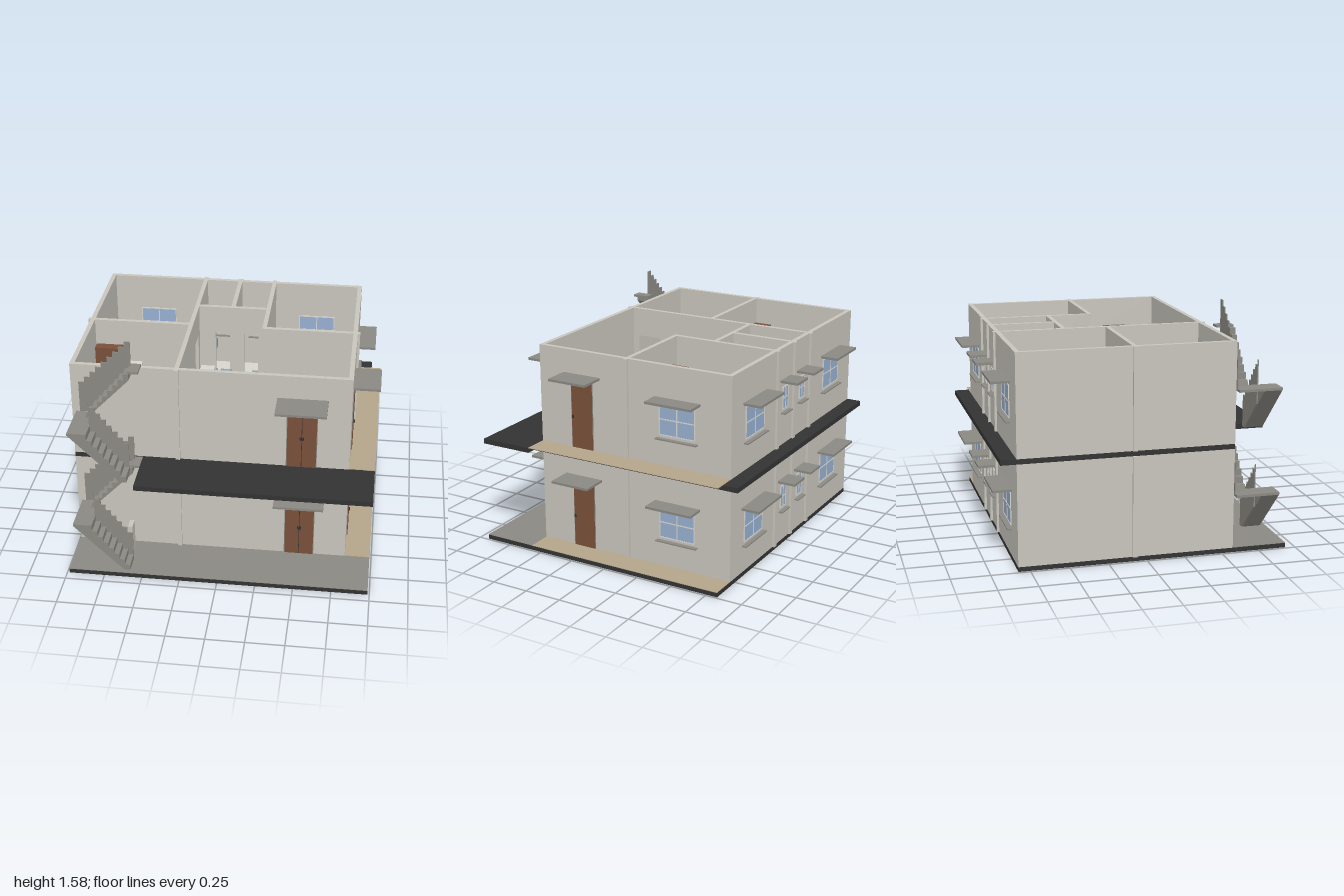
import * as THREE from 'three';

const paint = (name, color) => {
  const m = new THREE.MeshStandardMaterial({ color });
  m.name = name;
  return m;
};
const M = {
  wall: paint('plaster', 0xc8c5bd),
  slab: paint('dark slab', 0x333333),
  grey: paint('concrete', 0x8b8982),
  wood: paint('brown wood', 0x79503a),
  beige: paint('beige tile', 0xb3a58b),
  blue: paint('blue fabric', 0x64788d),
  glass: paint('window glass', 0x97b0d0),
  steel: paint('grey blue ceramic', 0x8fa3ad),
  frame: paint('white frame', 0xd6d5d0),
};
const WALL_H = 0.66, DOOR_H = 0.463, T = 0.03;

// Box given by its limits on each axis
function box(parent, name, mat, x0, x1, y0, y1, z0, z1) {
  const mesh = new THREE.Mesh(new THREE.BoxGeometry(x1 - x0, y1 - y0, z1 - z0), mat);
  mesh.position.set((x0 + x1) / 2, (y0 + y1) / 2, (z0 + z1) / 2);
  mesh.name = name;
  parent.add(mesh);
}

// Side profile in x and y, extruded from z0 to z1
function profile(parent, name, mat, points, z0, z1) {
  const shape = new THREE.Shape(points.map(([x, y]) => new THREE.Vector2(x, y)));
  const mesh = new THREE.Mesh(
    new THREE.ExtrudeGeometry(shape, { depth: z1 - z0, bevelEnabled: false }), mat);
  mesh.position.z = z0;
  mesh.name = name;
  parent.add(mesh);
}

// Inner wall with doorways; runs along x or z, c is the centre of its thickness
function innerWall(parent, axis, c, a, b, doors = []) {
  const h = 0.0145;
  const part = (p, q, y) => axis === 'x'
    ? box(parent, 'innerWall', M.wall, p, q, y, WALL_H, c - h, c + h)
    : box(parent, 'innerWall', M.wall, c - h, c + h, y, WALL_H, p, q);
  let from = a;
  for (const [p, q] of doors) {
    part(from, p, 0);
    part(p, q, DOOR_H);
    from = q;
  }
  part(from, b, 0);
}

// Group lying on an outer wall face, local +z pointing outwards
function onWall(parent, name, x, z, angle) {
  const g = new THREE.Group();
  g.name = name;
  g.position.set(x, 0, z);
  g.rotation.y = angle;
  parent.add(g);
  return g;
}

function awning(g, w, depth, y) {
  box(g, 'awning', M.grey, -w / 2, w / 2, y, y + 0.016, -0.01, depth);
}

function windowUnit(parent, x, z, angle, w, y0, y1, awningW) {
  const g = onWall(parent, 'window', x, z, angle), h = w / 2, f = 0.007;
  box(g, 'glass', M.glass, -h, h, y0, y1, -0.035, 0.003);
  for (const s of [-h, 0, h]) box(g, 'frameUpright', M.frame, s - f / 2, s + f / 2, y0, y1, -0.037, 0.006);
  for (const y of [y0, (y0 + y1) / 2, y1]) box(g, 'frameRail', M.frame, -h, h, y - f / 2, y + f / 2, -0.037, 0.006);
  box(g, 'sill', M.grey, -h - 0.022, h + 0.022, y0 - 0.028, y0 - 0.02, -0.045, 0.03);
  awning(g, awningW, 0.122, 0.433);
}

function doorUnit(parent, x, z, angle, w, handles, awningW, depth) {
  const g = onWall(parent, 'door', x, z, angle), h = w / 2;
  box(g, 'doorFrame', M.grey, -h, h, 0, DOOR_H, -0.034, 0.003);
  box(g, 'doorLeaf', M.wood, -h + 0.005, h - 0.005, 0, DOOR_H - 0.005, -0.038, 0.007);
  if (handles.length > 1) box(g, 'doorGap', M.slab, -0.002, 0.002, 0, DOOR_H - 0.005, -0.039, 0.008);
  for (const s of handles) box(g, 'handle', M.slab, s - 0.005, s + 0.005, 0.205, 0.225, 0, 0.016);
  awning(g, awningW, depth, 0.486);
}

function stairs(parent) {
  const g = new THREE.Group();
  g.name = 'staircase';
  parent.add(g);
  const run = 0.035, rise = 0.0418;
  // Lower flight climbs towards -x, with a stepped parapet on its inner side
  const flightA = [[-0.62, 0], [-0.95, 0.325], [-0.95, 0.336], [-0.825, 0.336]];
  const railA = [[-0.62, 0], [-0.83, 0.21], [-0.83, 0.50]];
  for (let i = 7; i >= 1; i--) {
    const x = -0.58 - (i - 1) * run;
    flightA.push([x - run, i * rise], [x, i * rise]);
    railA.push([x - run, i * rise + 0.172], [x, i * rise + 0.172]);
  }
  flightA.push([-0.58, 0]);
  railA.push([-0.58, 0]);
  profile(g, 'lowerFlight', M.grey, flightA, 0.78, 0.9);
  profile(g, 'lowerParapet', M.grey, railA, 0.771, 0.779);
  box(g, 'landing', M.grey, -0.95, -0.825, 0.32, 0.337, 0.61, 0.9);
  // Upper flight returns towards +x
  const flightB = [[-0.87, 0.33], [-0.58, 0.63]];
  for (let i = 8; i >= 1; i--) {
    const x = -0.86 + (i - 1) * run, y = 0.337 + i * rise;
    flightB.push([x + run, y], [x, y]);
  }
  const railB = [[-0.925, 0.337], [-0.87, 0.337], [-0.58, 0.63]];
  const step = 0.345 / 9;
  for (let i = 8; i >= 0; i--) {
    const x = -0.925 + i * step, y = 0.55 + i * 0.0382;
    railB.push([x + step, y], [x, y]);
  }
  profile(g, 'upperFlight', M.grey, flightB, 0.61, 0.695);
  profile(g, 'upperParapet', M.grey, railB, 0.602, 0.609);
  box(g, 'topStep', M.grey, -0.59, -0.52, 0.673, 0.688, 0.575, 0.69);
}

function bed(parent, x0, x1) {
  const m = (x0 + x1) / 2;
  box(parent, 'bedBase', M.wood, x0 - 0.004, x1 + 0.004, 0, 0.06, -0.78, -0.376);
  box(parent, 'mattress', M.beige, x0, x1, 0.06, 0.1, -0.775, -0.38);
  box(parent, 'headboard', M.wood, x0, x1, 0, 0.17, -0.795, -0.778);
  for (const [a, b] of [[x0 + 0.022, m - 0.008], [m + 0.008, x1 - 0.022]])
    box(parent, 'pillow', M.blue, a, b, 0.1, 0.12, -0.765, -0.68);
}

function table(parent, name, x0, x1, h, z0, z1) {
  box(parent, name, M.wood, x0, x1, h - 0.015, h, z0, z1);
  for (const x of [x0 + 0.01, x1 - 0.02]) for (const z of [z0 + 0.01, z1 - 0.02])
    box(parent, name + 'Leg', M.wood, x, x + 0.01, 0, h - 0.015, z, z + 0.01);
}

function furniture(g) {
  bed(g, -0.845, -0.44);
  bed(g, 0.38, 0.645);
  box(g, 'wardrobe', M.wood, -0.95, -0.53, 0, 0.48, -0.22, -0.096);
  box(g, 'wardrobe', M.wood, 0.27, 0.715, 0, 0.48, -0.22, -0.096);
  // Bathrooms and wash area
  for (const [x0, x1] of [[-0.28, -0.175], [0.075, 0.18]]) box(g, 'toilet', M.steel, x0, x1, 0, 0.1, -0.505, -0.425);
  for (const [x0, x1] of [[-0.284, -0.215], [0.115, 0.184]]) box(g, 'basin', M.steel, x0, x1, 0.13, 0.2, -0.795, -0.75);
  box(g, 'washer', M.frame, -0.275, -0.175, 0, 0.2, -0.355, -0.27);
  box(g, 'washBasin', M.steel, -0.135, -0.055, 0, 0.18, -0.355, -0.295);
  // Dining set
  table(g, 'diningTable', -0.2, 0.06, 0.17, 0.062 - 0.12, 0.29);
  for (const z of [0, 0.117, 0.234]) for (const s of [-1, 1]) {
    const x = -0.07 + s * 0.174;
    box(g, 'chairSeat', M.blue, x - 0.037, x + 0.037, 0.08, 0.1, z - 0.037, z + 0.037);
    box(g, 'chairBack', M.blue, x + s * 0.033 - 0.005, x + s * 0.033 + 0.005, 0.1, 0.19, z - 0.037, z + 0.037);
    for (const dx of [-0.03, 0.03]) for (const dz of [-0.03, 0.03])
      box(g, 'chairLeg', M.wood, x + dx - 0.004, x + dx + 0.004, 0, 0.08, z + dz - 0.004, z + dz + 0.004);
  }
  // Living area
  box(g, 'mediaCabinet', M.wood, 0.3, 0.65, 0, 0.1, -0.064, -0.01);
  box(g, 'screen', M.slab, 0.39, 0.58, 0.11, 0.22, -0.06, -0.045);
  table(g, 'coffeeTable', 0.405, 0.565, 0.09, 0.1, 0.215);
  box(g, 'sofaSeat', M.blue, 0.325, 0.645, 0, 0.085, 0.325, 0.445);
  box(g, 'sofaBack', M.blue, 0.325, 0.645, 0.085, 0.17, 0.41, 0.445);
  for (const x of [0.325, 0.62]) box(g, 'sofaArm', M.blue, x, x + 0.025, 0.085, 0.12, 0.325, 0.41);
  // Kitchen
  box(g, 'counter', M.steel, -0.95, -0.84, 0, 0.18, 0.04, 0.53);
  box(g, 'hob', M.slab, -0.945, -0.86, 0.18, 0.188, 0.08, 0.17);
  box(g, 'tallCabinet', M.wood, -0.95, -0.76, 0, 0.48, -0.064, 0);
  box(g, 'fridge', M.frame, -0.73, -0.635, 0, 0.36, -0.064, 0);
}

function storey(y) {
  const g = new THREE.Group();
  g.name = 'storey';
  g.position.y = y;
  // Floor finishes
  const floor = (name, m, x0, x1, z0, z1) => box(g, name, m, x0, x1, 0, 0.004, z0, z1);
  floor('bedroomFloor', M.wood, -0.955, -0.31, -0.795, -0.09);
  floor('bedroomFloor', M.wood, 0.21, 0.79, -0.795, -0.09);
  floor('bathroomFloor', M.frame, -0.29, 0.19, -0.795, -0.37);
  floor('hallFloor', M.beige, -0.29, 0.2, -0.36, 0.54);
  floor('livingFloor', M.beige, 0.2, 0.79, -0.07, 0.54);
  floor('kitchenFloor', M.grey, -0.955, -0.31, -0.07, 0.54);
  floor('sideWalk', M.beige, 0.82, 0.99, -0.825, 0.572);
  // Outer walls
  box(g, 'backWall', M.wall, -0.985, 0.822, 0, WALL_H, -0.825, -0.825 + T);
  box(g, 'frontWall', M.wall, -0.985, 0.822, 0, WALL_H, 0.575 - T, 0.575);
  for (const x of [-0.985, 0.822 - T]) box(g, 'sideWall', M.wall, x, x + T, 0, WALL_H, -0.825 + T, 0.575 - T);
  // Inner walls
  innerWall(g, 'z', -0.297, -0.795, 0.545, [[-0.3, -0.15], [0.33, 0.5]]);
  innerWall(g, 'z', 0.198, -0.795, -0.066, [[-0.3, -0.15]]);
  innerWall(g, 'x', -0.08, -0.955, -0.31);
  innerWall(g, 'x', -0.08, 0.212, 0.792);
  innerWall(g, 'x', -0.372, -0.283, 0.184, [[-0.17, -0.07], [0.03, 0.13]]);
  innerWall(g, 'z', -0.047, -0.795, -0.386);
  // Columns standing proud of the walls
  for (const x of [-0.297, -0.047, 0.198]) box(g, 'column', M.wall, x - 0.015, x + 0.015, 0, WALL_H, -0.84, -0.82);
  box(g, 'column', M.wall, -0.312, -0.282, 0, WALL_H, 0.57, 0.591);
  box(g, 'column', M.wall, -1, -0.98, 0, WALL_H, -0.095, -0.065);
  box(g, 'column', M.wall, 0.815, 0.838, 0, WALL_H, -0.095, -0.065);
  // Doors and windows
  doorUnit(g, 0.51, 0.575, 0, 0.2, [-0.008, 0.008], 0.325, 0.205);
  doorUnit(g, 0.822, 0.255, Math.PI / 2, 0.165, [-0.067], 0.275, 0.173);
  windowUnit(g, 0.822, -0.447, Math.PI / 2, 0.25, 0.205, 0.413, 0.325);
  for (const x of [-0.645, 0.51]) windowUnit(g, x, -0.825, Math.PI, 0.25, 0.205, 0.413, 0.325);
  for (const x of [-0.175, 0.075]) windowUnit(g, x, -0.825, Math.PI, 0.075, 0.245, 0.395, 0.15);
  furniture(g);
  stairs(g);
  return g;
}

export function createModel() {
  const house = new THREE.Group();
  house.name = 'house';
  // Ground slab with paved forecourt
  box(house, 'groundSlab', M.slab, -0.985, 0.988, 0, 0.03, -0.825, 0.935);
  box(house, 'forecourt', M.grey, -0.985, 0.988, 0.03, 0.033, 0.575, 0.935);
  box(house, 'stairFoot', M.wall, -0.63, -0.6, 0.03, 0.23, 0.61, 0.69);
  // Upper slab, open above the stairs
  box(house, 'upperSlab', M.slab, -0.985, 0.925, 0.69, 0.723, -0.925, 0.575);
  box(house, 'balconySlab', M.slab, -0.53, 0.988, 0.69, 0.723, 0.575, 0.935);
  house.add(storey(0.03), storey(0.723));
  return house;
}
